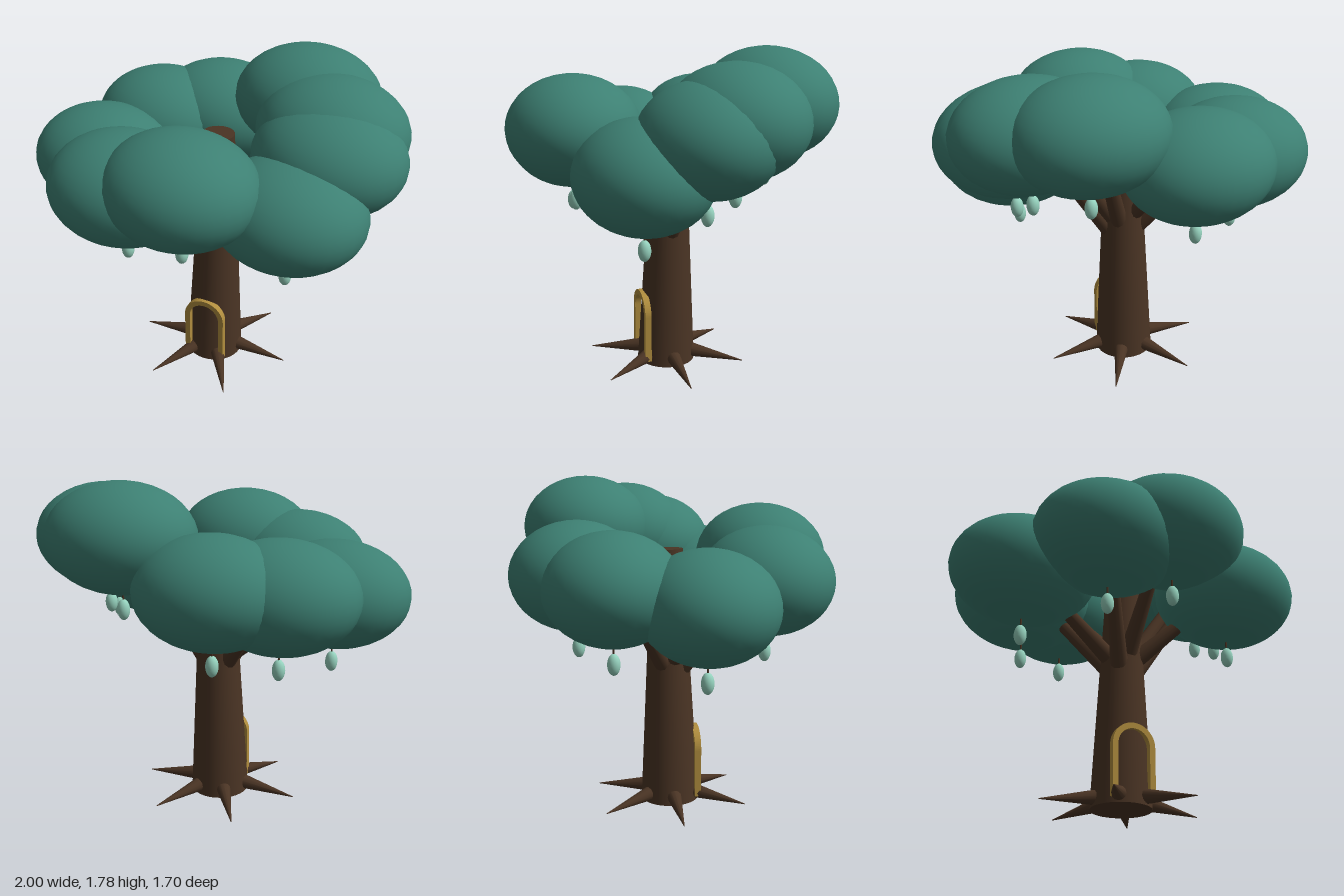
import * as THREE from 'three';

const mat = (name, color) => {
  const m = new THREE.MeshStandardMaterial({ color });
  m.name = name;
  return m;
};

export function createModel() {
  const bark = mat('bark brown', 0x4a3424);
  const leaf = mat('leaf teal', 0x3d8073);
  const gold = mat('door gold', 0xb08d3e);
  const mint = mat('fruit mint', 0x96d2be);

  const tree = new THREE.Group();
  tree.name = 'tree';
  const add = (name, geo, material, parent = tree) => {
    const mesh = new THREE.Mesh(geo, material);
    mesh.name = name;
    parent.add(mesh);
    return mesh;
  };

  // Tapered round limb running from point a to point b
  const up = new THREE.Vector3(0, 1, 0);
  const limb = (name, a, b, ra, rb, sides = 12, parent = tree) => {
    const dir = b.clone().sub(a);
    const mesh = add(name, new THREE.CylinderGeometry(rb, ra, dir.length(), sides), bark, parent);
    mesh.position.copy(a).add(b).multiplyScalar(0.5);
    mesh.quaternion.setFromUnitVectors(up, dir.normalize());
    return mesh;
  };
  const V = (x, y, z) => new THREE.Vector3(x, y, z);

  // Trunk, leaning very slightly
  limb('trunk', V(0, 0, 0), V(0.015, 1.4, -0.014), 0.16, 0.085, 32);

  // Six pointed roots
  for (let i = 0; i < 6; i++) {
    const a = (i * Math.PI) / 3, c = Math.cos(a), s = Math.sin(a);
    limb('root', V(0.1 * c, 0.055, 0.1 * s), V(0.44 * c, 0.01, 0.44 * s), 0.045, 0.002);
  }

  // Arched door frame
  const arch = new THREE.Shape();
  arch.moveTo(-0.118, 0.03);
  arch.lineTo(-0.118, 0.297);
  arch.absarc(0, 0.297, 0.118, Math.PI, 0, true);
  arch.lineTo(0.118, 0.03);
  arch.lineTo(0.088, 0.03);
  arch.lineTo(0.088, 0.297);
  arch.absarc(0, 0.297, 0.088, 0, Math.PI, false);
  arch.lineTo(-0.088, 0.03);
  const frame = new THREE.ExtrudeGeometry(arch, { depth: 0.035, bevelEnabled: false, curveSegments: 20 });
  add('doorFrame', frame, gold).position.z = 0.12;

  // Ring of leaf clumps: centre x, y, z and the height where its branch starts
  const clumps = [
    [-0.605, 1.185, 0.08, 0.82],
    [-0.29, 1.26, 0.45, 0.76],
    [0.045, 1.355, 0.505, 0.84],
    [0.505, 1.2, 0.27, 0.82],
    [0.605, 1.38, -0.015, 0.75],
    [0.57, 1.45, -0.17, 0.84],
    [0.36, 1.495, -0.415, 0.82],
    [-0.165, 1.29, -0.505, 0.88],
    [-0.455, 1.26, -0.355, 0.78],
  ];
  const ball = new THREE.SphereGeometry(1, 32, 20);
  const smallBall = new THREE.SphereGeometry(1, 16, 12);
  for (const [x, y, z, start] of clumps) {
    const clump = new THREE.Group();
    clump.name = 'leafClump';
    tree.add(clump);

    const crown = add('leaves', ball, leaf, clump);
    crown.position.set(x, y, z);
    crown.scale.set(0.393, 0.28, 0.345);

    // Branch from the trunk into the leaves
    const r = Math.hypot(x, z);
    limb('branch', V((x / r) * 0.075, start, (z / r) * 0.075),
      V(x * 0.75, y - 0.08, z * 0.75), 0.048, 0.03, 12, clump);

    // Hanging fruit on a thin stem
    limb('fruitStem', V(x, y - 0.34, z), V(x, y - 0.24, z), 0.005, 0.005, 6, clump);
    const fruit = add('fruit', smallBall, mint, clump);
    fruit.position.set(x, y - 0.37, z);
    fruit.scale.set(0.033, 0.055, 0.033);
  }

  return tree;
}
